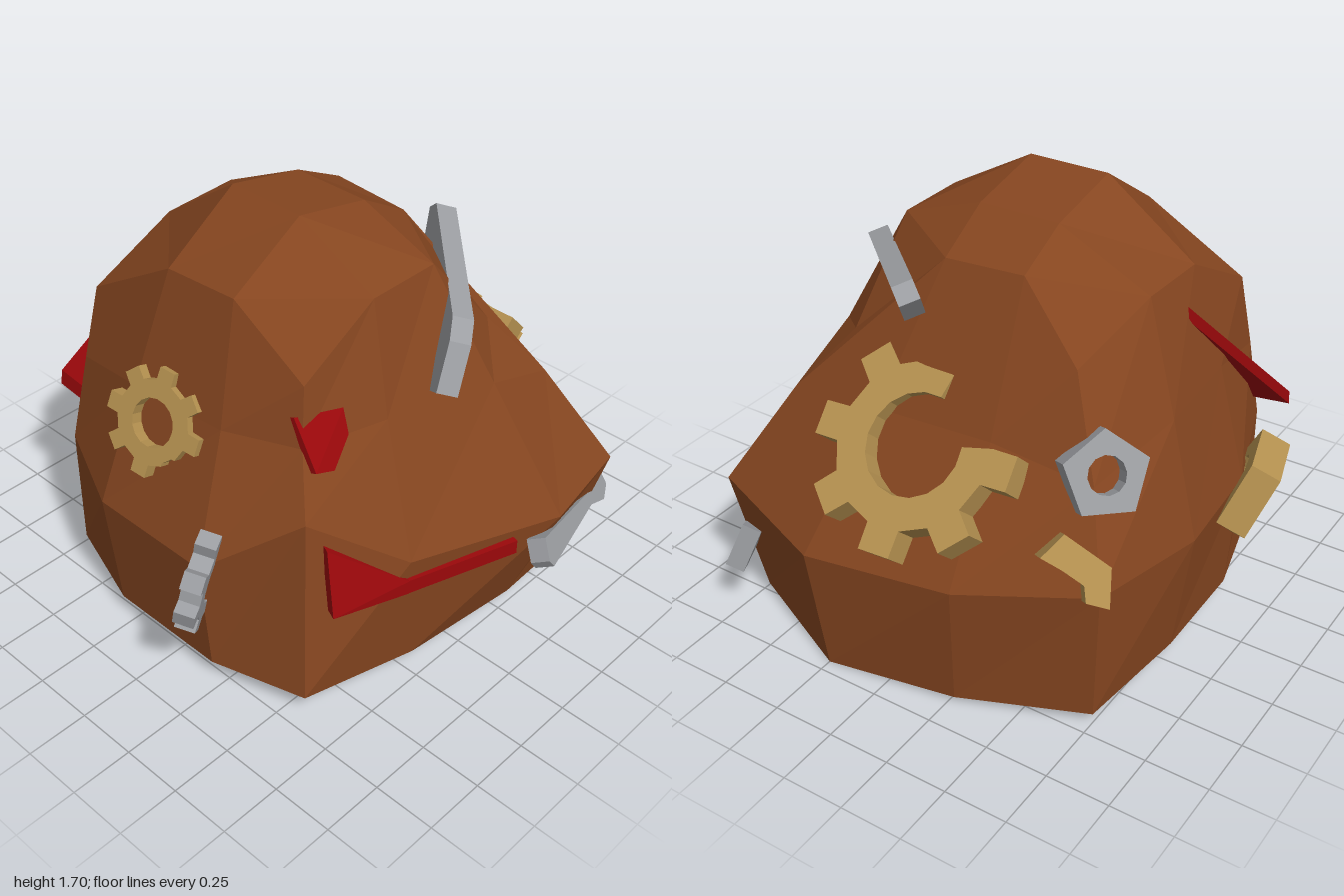
import * as THREE from 'three';
import { ConvexGeometry } from 'three/addons/geometries/ConvexGeometry.js';

const mat = (name, color, extra = {}) => {
  const m = new THREE.MeshStandardMaterial({ color, flatShading: true, ...extra });
  m.name = name;
  return m;
};

// Mound cross-sections, each running front, left flank (+x), back, right flank (-x)
const base = [
  [-0.70, 0.08, 0.66], [-0.31, 0.08, 0.79], [0.20, 0.08, 0.79], [0.58, 0.08, 0.68],
  [0.70, 0.07, 0.22], [0.75, 0.06, -0.30], [0.72, 0.04, -0.75], [0.25, 0, -0.95],
  [-0.27, 0.02, -0.87], [-0.75, 0.04, -0.69], [-0.81, 0.06, -0.22], [-0.81, 0.07, 0.22]];
const rim = [
  [-0.70, 0.60, 0.66], [-0.33, 0.58, 0.83], [0.20, 0.58, 0.83], [0.51, 0.82, 0.60],
  [0.74, 0.60, 0.30], [0.93, 0.53, -0.34], [0.85, 0.52, -0.78], [0.31, 0.49, -0.975],
  [-0.29, 0.53, -0.91], [-0.77, 0.58, -0.70], [-0.88, 0.57, -0.22], [-0.85, 0.58, 0.22]];
const waist = [
  [-0.68, 0.95, 0.58], [-0.29, 1.05, 0.66], [0.13, 1.05, 0.63], [0.41, 1.05, 0.51],
  [0.54, 1.09, 0.22], [0.64, 1.05, -0.25], [0.62, 0.92, -0.60], [0.20, 0.98, -0.64],
  [-0.28, 1.0, -0.63], [-0.66, 0.92, -0.57], [-0.76, 1.03, -0.20], [-0.73, 1.03, 0.22]];
const shoulder = [
  [-0.65, 1.25, 0.52], [-0.25, 1.49, 0.50], [0.08, 1.51, 0.50], [0.38, 1.28, 0.47],
  [0.42, 1.51, 0.17], [0.42, 1.51, -0.14], [0.44, 1.15, -0.45], [0.08, 1.50, -0.37],
  [-0.25, 1.52, -0.37], [-0.52, 1.28, -0.46], [-0.62, 1.45, -0.15], [-0.62, 1.44, 0.17]];
const crown = [[-0.25, 1.70, 0.18], [0.08, 1.70, 0.18], [-0.25, 1.63, -0.15], [0.08, 1.63, -0.15]];

function moundGeometry() {
  const pos = [];
  const tri = (a, b, c) => pos.push(...a, ...b, ...c);
  const quad = (a, b, c, d) => { tri(a, b, c); tri(a, c, d); };
  const rings = [base, rim, waist, shoulder];
  for (let i = 0; i < 3; i++) {
    for (let j = 0; j < 12; j++) {
      const k = (j + 1) % 12;
      quad(rings[i][j], rings[i][k], rings[i + 1][k], rings[i + 1][j]);
    }
  }
  // Domed cap, with every corner quad folded across the corner
  const s = shoulder;
  const rows = [
    [s[0], s[1], s[2], s[3]],
    [s[11], crown[0], crown[1], s[4]],
    [s[10], crown[2], crown[3], s[5]],
    [s[9], s[8], s[7], s[6]]];
  for (let r = 0; r < 3; r++) {
    for (let c = 0; c < 3; c++) {
      const q = [rows[r][c], rows[r][c + 1], rows[r + 1][c + 1], rows[r + 1][c]];
      if (r === c) q.push(q.shift());
      quad(...q);
    }
  }
  // Underside
  const mid = [0, 0.045, -0.05];
  for (let j = 0; j < 12; j++) tri(mid, base[(j + 1) % 12], base[j]);
  const g = new THREE.BufferGeometry();
  g.setAttribute('position', new THREE.Float32BufferAttribute(pos, 3));
  g.computeVertexNormals();
  return g;
}

const polar = (r, a) => new THREE.Vector2(r * Math.cos(a), r * Math.sin(a));

// Gear outline; "missing" lists broken teeth, "gap" opens the ring between two angles
function gearShape(r, hole, { teeth = 8, missing = [], gap = null, roll = 0 } = {}) {
  const step = Math.PI * 2 / teeth;
  const pts = [];
  const root = r * 0.76;
  for (let i = 0; i < teeth; i++) {
    const a = roll + i * step;
    if (gap && a > gap[0] && a < gap[1]) continue;
    const tip = missing.includes(i) ? root * 0.93 : r;
    pts.push([a - step * 0.27, root], [a - step * 0.2, tip], [a + step * 0.2, tip], [a + step * 0.27, root]);
  }
  if (!gap) {
    const shape = new THREE.Shape(pts.map(([a, q]) => polar(q, a)));
    shape.holes.push(new THREE.Path(Array.from({ length: 16 }, (_, i) => polar(hole, -i * Math.PI / 8))));
    return shape;
  }
  // Open ring: order the outer edge from one broken end to the other, then return inside
  const full = Math.PI * 2;
  const outer = pts.map(([a, q]) => [a < gap[1] - 0.35 ? a + full : a, q]).sort((p, q) => p[0] - q[0]);
  const start = outer[0][0], end = outer[outer.length - 1][0];
  const inner = Array.from({ length: 15 }, (_, i) => polar(hole, end + (start - end) * i / 14));
  return new THREE.Shape([...outer.map(([a, q]) => polar(q, a)), ...inner]);
}

function nutShape(r, hole, roll) {
  const shape = new THREE.Shape(Array.from({ length: 5 }, (_, i) => polar(r, roll + i * Math.PI * 0.4)));
  shape.holes.push(new THREE.Path(Array.from({ length: 12 }, (_, i) => polar(hole, -i * Math.PI / 6))));
  return shape;
}

const outline = (pts) => new THREE.Shape(pts.map(([x, y]) => new THREE.Vector2(x, y)));

export function createModel() {
  const group = new THREE.Group();
  const rust = mat('rust brown', 0x864620, { side: THREE.DoubleSide });
  const brass = mat('brass', 0xb59150);
  const steel = mat('steel grey', 0x9c9ea2);
  const red = mat('painted red', 0x9b080b);

  const add = (name, geometry, material) => {
    const m = new THREE.Mesh(geometry, material);
    m.name = name;
    group.add(m);
    return m;
  };
  // Extrude a flat shape, centre its thickness and face it along a normal
  const embed = (name, shape, depth, material, at, normal) => {
    const g = new THREE.ExtrudeGeometry(shape, { depth, bevelEnabled: false });
    g.translate(0, 0, -depth / 2);
    const m = add(name, g, material);
    m.position.set(...at);
    m.lookAt(at[0] + normal[0], at[1] + normal[1], at[2] + normal[2]);
  };
  // Sheet scrap: convex outline pushed along an offset
  const sheet = (name, pts, offset) => {
    const v = pts.map((p) => new THREE.Vector3(...p));
    const o = new THREE.Vector3(...offset);
    add(name, new ConvexGeometry([...v, ...v.map((p) => p.clone().add(o))]), red);
  };

  add('mound', moundGeometry(), rust);

  // Gears
  embed('frontGear', gearShape(0.21, 0.092, { missing: [7], roll: -0.1 }), 0.06, brass,
    [-0.14, 0.98, 0.69], [0.14, 0.37, 0.9]);
  embed('backGear', gearShape(0.405, 0.19, { gap: [0.25, 1.2], roll: 0.05 }), 0.11, brass,
    [-0.03, 0.925, -0.70], [0, 0.69, -0.72]);
  embed('sideGear', gearShape(0.215, 0.1, { roll: 0.2 }), 0.08, steel,
    [0.18, 0.52, 0.79], [0.85, -0.2, -0.48]);

  // Nuts and a broken gear piece
  embed('brassNut', nutShape(0.22, 0.11, 0.942), 0.12, brass, [-0.875, 0.54, 0.23], [-0.86, -0.42, 0.26]);
  embed('steelNut', nutShape(0.16, 0.07, 1.5), 0.1, steel, [-0.67, 0.96, -0.53], [-0.68, 0.42, -0.6]);
  embed('gearFragment', outline([[-0.13, 0.05], [-0.04, 0.12], [0.11, -0.01], [0.09, -0.15],
    [0.01, -0.12], [0.01, -0.06], [-0.06, 0.0]]), 0.14, brass, [-0.665, 0.67, -0.69], [-0.6, 0.5, -0.62]);

  // Spanners
  embed('lowerSpanner', outline([[-0.40, 0.07], [-0.36, 0.15], [0.2, -0.05], [0.34, 0.04],
    [0.37, -0.15], [0.29, -0.17], [0.15, -0.09], [-0.38, 0.03]]), 0.075, steel,
    [0.825, 0.36, -0.56], [0.84, 0.4, -0.38]);
  embed('upperSpanner', outline([[-0.42, 0.08], [-0.36, 0.13], [0.28, 0.04], [0.35, -0.02],
    [0.43, -0.19], [0.36, -0.23], [0.2, -0.05], [-0.33, -0.03]]), 0.08, steel,
    [0.375, 1.34, -0.285], [-0.65, 0.3, 0.72]);

  // Red sheet scraps
  sheet('rightRedSheet', [[-0.67, 1.34, 0.04], [-0.865, 0.79, 0.57], [-0.70, 0.77, 0.57]], [0, -0.06, 0.01]);
  sheet('smallRedSheet', [[0.37, 1.165, 0.51], [0.45, 1.165, 0.35], [0.52, 0.95, 0.36], [0.48, 0.985, 0.515]],
    [-0.07, -0.03, 0]);
  sheet('redWedge', [[0.54, 0.73, 0.55], [0.60, 0.47, 0.58], [0.70, 0.52, 0.29], [0.70, 0.46, 0.29]],
    [0.045, 0, 0.02]);
  sheet('redStrip', [[0.70, 0.52, 0.31], [0.70, 0.46, 0.31], [0.85, 0.52, -0.14], [0.85, 0.46, -0.14]],
    [0.04, 0, 0.01]);

  return group;
}
